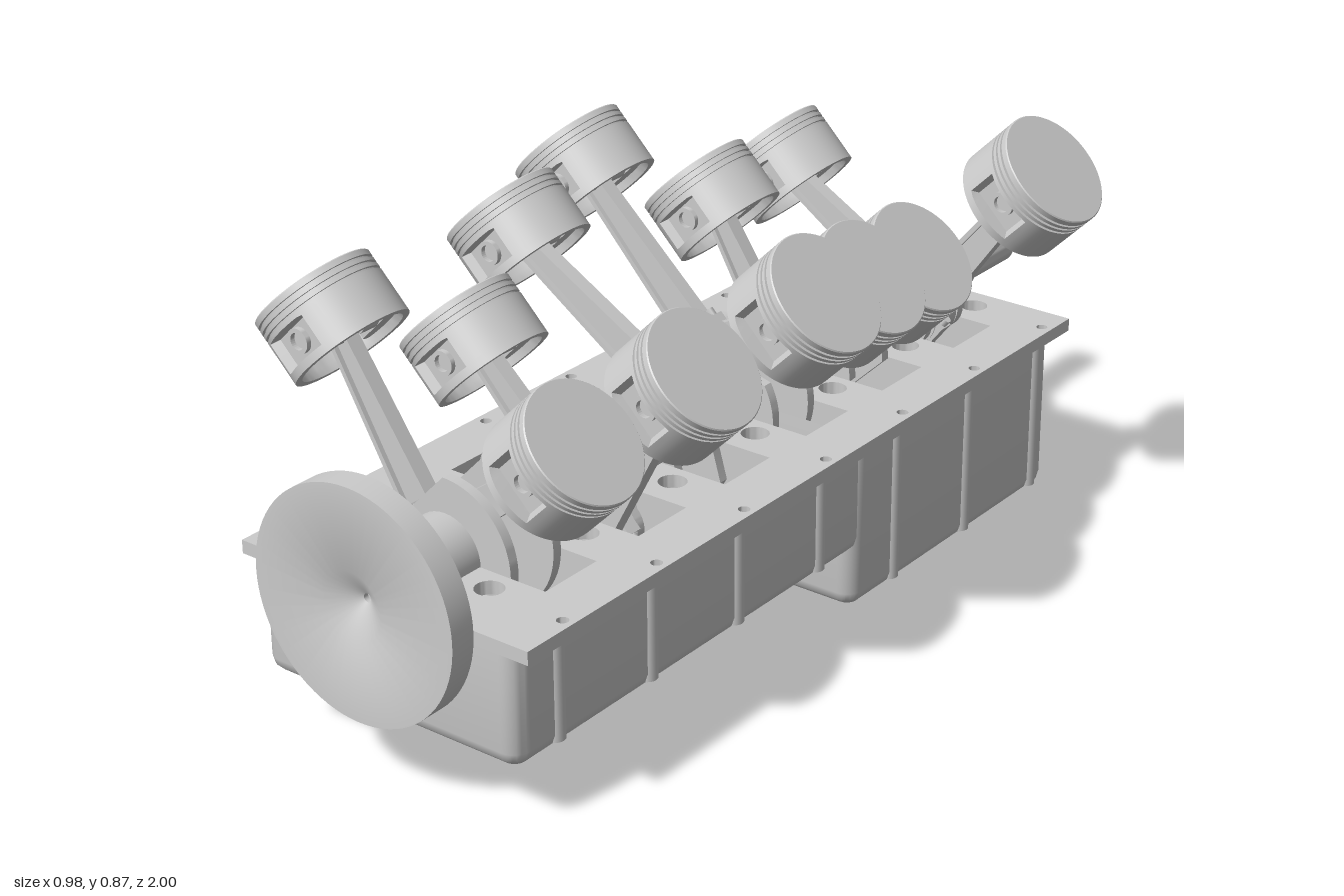
import * as THREE from 'three';
import { toCreasedNormals } from 'three/addons/utils/BufferGeometryUtils.js';

const grey = new THREE.MeshStandardMaterial({ color: 0xcccccc, side: THREE.DoubleSide });
const CRANK_X = 0.002, CRANK_Y = 0.368, PAN_X = 0.009;
const THROW = 0.1045, ROD = 0.405;
const throwAngles = [75, 195, 315, 15, 135, 255]; // from vertical toward +x
const throwZ = (i) => -0.55 + 0.25 * i;
const bulkheadZ = (i) => -0.675 + 0.25 * i;

function add(parent, name, geo, x = 0, y = 0, z = 0) {
  const mesh = new THREE.Mesh(geo, grey);
  mesh.name = name;
  mesh.position.set(x, y, z);
  parent.add(mesh);
  return mesh;
}
const crease = (geo) => toCreasedNormals(geo, 0.6);
const vecs = (pts) => pts.map(([x, y]) => new THREE.Vector2(x, y));
const lathe = (pts, seg = 48) => crease(new THREE.LatheGeometry(vecs(pts), seg));
const latheZ = (pts, seg) => lathe(pts, seg).rotateX(Math.PI / 2);
const extrudeZ = (shape, depth) => crease(new THREE.ExtrudeGeometry(shape,
  { depth, bevelEnabled: false, curveSegments: 20 }).translate(0, 0, -depth / 2));
const circleHole = (x, y, r) => new THREE.Path().absarc(x, y, r, 0, Math.PI * 2, true);
const ringShape = (outer, inner) => {
  const s = new THREE.Shape().absarc(0, 0, outer, 0, Math.PI * 2);
  s.holes.push(circleHole(0, 0, inner));
  return s;
};

// Hollow piston, origin at its pin, with ring grooves and a flat pocket at each pin end
function pistonGeometry() {
  const R = 0.118, rows = [-0.036, -0.034, 0, 0.026, 0.028];
  const pts = [[0, 0.052], [0.1, 0.05], ...rows.slice().reverse().map((y) => [0.102, y]),
    [0.104, -0.052], [R, -0.052], ...rows.map((y) => [R, y])];
  for (const y of [0.036, 0.048, 0.06]) {
    pts.push([R, y], [R - 0.006, y], [R - 0.006, y + 0.005], [R, y + 0.005]);
  }
  pts.push([R, 0.076], [R - 0.002, 0.078], [0, 0.078]);
  const geo = new THREE.LatheGeometry(vecs(pts), 64);
  const p = geo.attributes.position;
  for (let i = 0; i < p.count; i++) {
    const x = p.getX(i), y = p.getY(i), z = p.getZ(i);
    if (Math.abs(x) < 0.052 && y > -0.035 && y < 0.027) {
      const limit = Math.hypot(x, z) > 0.11 ? 0.088 : 0.074;
      p.setZ(i, Math.sign(z) * Math.min(Math.abs(z), limit));
    }
  }
  return crease(geo);
}

// Connecting rod, origin at the big end, small end at y = ROD
function makeRod() {
  const rod = new THREE.Group();
  rod.name = 'connectingRod';
  add(rod, 'bigEnd', extrudeZ(ringShape(0.058, 0.042), 0.037));
  add(rod, 'smallEnd', extrudeZ(ringShape(0.036, 0.024), 0.045), 0, ROD, 0);
  const quad = (a, b, c, d) => new THREE.Shape(vecs([a, b, c, d]));
  const y0 = 0.045, y1 = ROD - 0.028;
  add(rod, 'rodWeb', extrudeZ(quad([-0.034, y0], [0.034, y0], [0.02, y1], [-0.02, y1]), 0.012));
  for (const s of [-1, 1]) {
    add(rod, 'rodFlange', extrudeZ(
      quad([s * 0.028, y0 - 0.01], [s * 0.038, y0 - 0.01], [s * 0.024, y1], [s * 0.015, y1]), 0.032));
    add(rod, 'capLug', new THREE.BoxGeometry(0.02, 0.07, 0.032), s * 0.055, 0, 0);
    add(rod, 'capBolt', new THREE.CylinderGeometry(0.009, 0.009, 0.1, 6), s * 0.055, 0, 0);
  }
  return rod;
}

// Open tray with rounded corners and a rounded bottom edge, built from rings
function trayGeometry(halfX, z0, z1, top, bottom) {
  const levels = [[0, top], [0, bottom + 0.03], [0.004, bottom + 0.015], [0.014, bottom + 0.005], [0.03, bottom]];
  const pos = [], index = [], cornerSteps = 6, n = 4 * (cornerSteps + 1), rad = 0.035;
  for (const [inset, y] of levels) {
    for (let c = 0; c < 4; c++) {
      const sx = c === 0 || c === 3 ? 1 : -1, sz = c < 2 ? 1 : -1;
      for (let k = 0; k <= cornerSteps; k++) {
        const a = (c + k / cornerSteps) * Math.PI / 2, r = rad - inset;
        pos.push(sx * (halfX - rad) + r * Math.cos(a), y,
          (sz > 0 ? z1 - rad : z0 + rad) + r * Math.sin(a));
      }
    }
  }
  const centre = pos.length / 3;
  pos.push(0, bottom, (z0 + z1) / 2);
  levels.forEach((_, j) => {
    for (let k = 0; k < n; k++) {
      const a = j * n + k, b = j * n + (k + 1) % n;
      if (j < levels.length - 1) index.push(a, b, b + n, a, b + n, a + n);
      else index.push(a, b, centre);
    }
  });
  // Ring order runs from +x to +z, so the corners are flipped to face outward
  for (let i = 0; i < index.length; i += 3) [index[i + 1], index[i + 2]] = [index[i + 2], index[i + 1]];
  for (let i = 0; i < index.length; i += 3) [index[i], index[i + 1]] = [index[i + 1], index[i]];
  const geo = new THREE.BufferGeometry();
  geo.setAttribute('position', new THREE.Float32BufferAttribute(pos, 3));
  geo.setIndex(index);
  return crease(geo);
}

function makeOilPan() {
  const pan = new THREE.Group();
  pan.name = 'oilPan';
  pan.position.x = PAN_X;
  add(pan, 'shallowPan', trayGeometry(0.29, -0.07, 0.937, 0.35, 0.122));
  add(pan, 'deepSump', trayGeometry(0.29, -0.732, -0.032, 0.35, 0));

  // Deck with an opening at every crank throw and rows of bolt holes
  const deck = new THREE.Shape(vecs([[-0.322, -0.744], [0.322, -0.744], [0.322, 0.94], [-0.322, 0.94]]));
  for (let i = 0; i < 6; i++) {
    const z = throwZ(i), w = 0.215, h = 0.068;
    deck.holes.push(new THREE.Path(vecs([[-w, z - h], [-w, z + h], [w, z + h], [w, z - h]])));
  }
  for (let i = 0; i < 7; i++) {
    for (const s of [-1, 1]) {
      deck.holes.push(circleHole(s * 0.133, bulkheadZ(i) - 0.01, 0.027));
      deck.holes.push(circleHole(s * 0.3, bulkheadZ(i), 0.011));
    }
  }
  add(pan, 'deck', extrudeZ(deck, 0.026).rotateX(Math.PI / 2), 0, CRANK_Y - 0.013, 0);

  for (let i = 0; i < 7; i++) {
    const z = bulkheadZ(i), low = z < -0.1 ? 0.015 : 0.137;
    add(pan, 'bulkhead', new THREE.BoxGeometry(0.56, 0.14, 0.05), 0, 0.272, z);
    for (const s of [-1, 1]) {
      add(pan, 'sideRib', new THREE.CylinderGeometry(0.019, 0.019, 0.345 - low, 20),
        s * 0.278, (0.345 + low) / 2, z);
    }
  }
  return pan;
}

function makeCrankshaft() {
  const crank = new THREE.Group();
  crank.name = 'crankshaft';
  const rod = (name, r, z0, z1, x = 0, y = 0) => add(crank, name,
    latheZ([[0, z0], [r, z0], [r, z1], [0, z1]], 40), x, y, 0);
  rod('rearShaft', 0.045, -0.84, -0.73);
  rod('rearShaftEnd', 0.038, -1, -0.84);
  for (let i = 0; i < 7; i++) {
    rod('mainJournal', 0.078, i === 0 ? -0.735 : bulkheadZ(i) - 0.06, i === 6 ? 0.95 : bulkheadZ(i) + 0.06);
  }
  const web = new THREE.Shape();
  web.absarc(0, 0, 0.145, Math.PI * 1.08, Math.PI * 1.92);
  web.absarc(0, THROW, 0.056, 0, Math.PI);
  web.closePath();
  const webGeo = extrudeZ(web, 0.02);
  throwAngles.forEach((deg, i) => {
    const a = THREE.MathUtils.degToRad(deg), z = throwZ(i);
    for (const s of [-1, 1]) add(crank, 'crankWeb', webGeo, 0, 0, z + s * 0.056).rotation.z = -a;
    rod('crankPin', 0.042, z - 0.06, z + 0.06, THROW * Math.sin(a), THROW * Math.cos(a));
  });
  // Flywheel with a conical recess and a small centre hole
  add(crank, 'flywheel', latheZ([[0, 0.948], [0.221, 0.948], [0.221, 1], [0.065, 1],
    [0.008, 0.962], [0.008, 0.952], [0, 0.952]], 80));
  return crank;
}

export function createModel() {
  const model = new THREE.Group();
  model.name = 'engineBottomEnd';
  model.add(makeOilPan());
  const crank = makeCrankshaft();
  crank.position.set(CRANK_X, CRANK_Y, 0);
  model.add(crank);

  // Two banks at 45 degrees, each piston placed by its crank throw
  const pistonGeo = pistonGeometry();
  const pinGeo = latheZ([[0.016, -0.098], [0.024, -0.098], [0.024, 0.098], [0.016, 0.098], [0.016, -0.098]], 28);
  const bossGeo = extrudeZ(ringShape(0.034, 0.024), 0.05);
  const rodProto = makeRod();
  for (const side of [-1, 1]) {
    throwAngles.forEach((deg, i) => {
      const cylinder = new THREE.Group();
      cylinder.name = side > 0 ? 'leftCylinder' : 'rightCylinder';
      cylinder.position.set(CRANK_X, CRANK_Y, throwZ(i) + side * 0.02);
      cylinder.rotation.z = -side * Math.PI / 4;
      const a = THREE.MathUtils.degToRad(deg - side * 45);
      const px = THROW * Math.sin(a), py = THROW * Math.cos(a);
      const pinY = py + Math.sqrt(ROD * ROD - px * px);
      add(cylinder, 'piston', pistonGeo, 0, pinY, 0);
      add(cylinder, 'pistonPin', pinGeo, 0, pinY, 0);
      for (const s of [-1, 1]) add(cylinder, 'pinBoss', bossGeo, 0, pinY, s * 0.06);
      const rod = rodProto.clone();
      rod.position.set(px, py, 0);
      rod.rotation.z = Math.asin(px / ROD);
      cylinder.add(rod);
      model.add(cylinder);
    });
  }
  return model;
}
